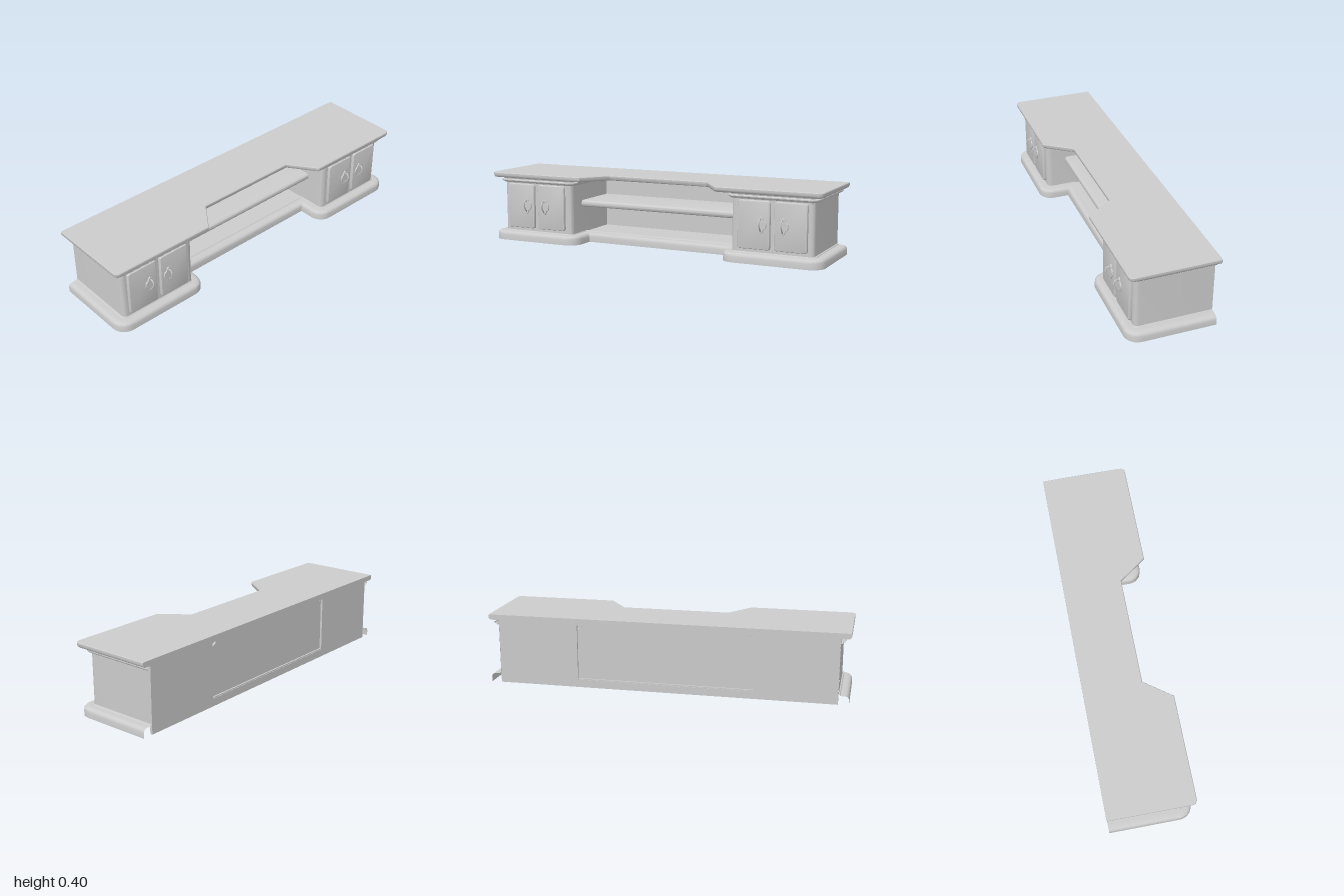
import * as THREE from 'three';
import { toCreasedNormals } from 'three/addons/utils/BufferGeometryUtils.js';

const mat = new THREE.MeshStandardMaterial({ color: 0xcccccc, side: THREE.DoubleSide });

function add(parent, name, geo, x = 0, y = 0, z = 0) {
  const m = new THREE.Mesh(geo, mat);
  m.name = name;
  m.position.set(x, y, z);
  parent.add(m);
  return m;
}

// Path of [x, z, radius]: corners with a radius become short arcs
function roundPath(pts, steps = 5) {
  const out = [];
  pts.forEach(([x, z, r], i) => {
    const c = new THREE.Vector2(x, z);
    if (!r) return out.push(c);
    const toward = (q) => c.clone().add(new THREE.Vector2(q[0], q[1]).sub(c).setLength(r));
    const a = toward(pts[i - 1]), b = toward(pts[i + 1]);
    const curve = new THREE.QuadraticBezierCurve(a, c, b);
    out.push(...curve.getPoints(steps));
  });
  return out;
}

// Mitred parallel of a path, moved outward by d
function offsetPath(path, d) {
  const normal = (a, b) => new THREE.Vector2(a.y - b.y, b.x - a.x).normalize();
  return path.map((p, i) => {
    const n1 = normal(path[Math.max(i - 1, 0)], path[Math.max(i, 1)]);
    const last = path.length - 1;
    const n2 = normal(path[Math.min(i, last - 1)], path[Math.min(i + 1, last)]);
    const n = n1.clone().add(n2);
    return p.clone().addScaledVector(n, d * 2 / n.lengthSq());
  });
}

// Sweep a profile of [outward, y] along a floor-plan path
function sweep(path, profile) {
  const pos = [], idx = [], n = path.length;
  profile.forEach(([d, y]) => offsetPath(path, d).forEach((p) => pos.push(p.x, y, p.y)));
  for (let j = 0; j < profile.length - 1; j++) {
    for (let i = 0; i < n - 1; i++) {
      const a = j * n + i, b = a + 1, c = a + n, e = c + 1;
      idx.push(a, b, c, b, e, c);
    }
  }
  const g = new THREE.BufferGeometry();
  g.setAttribute('position', new THREE.Float32BufferAttribute(pos, 3));
  g.setIndex(idx);
  return toCreasedNormals(g, 0.6);
}

// Horizontal face filling a floor-plan path
function cap(path, y, up) {
  const s = new THREE.Shape(path.map((p) => new THREE.Vector2(p.x, up ? -p.y : p.y)));
  return new THREE.ShapeGeometry(s).rotateX(up ? -Math.PI / 2 : Math.PI / 2).translate(0, y, 0);
}

function roundedRect(w, h, r) {
  const s = new THREE.Shape(), x = w / 2, y = h / 2;
  s.absarc(x - r, y - r, r, 0, Math.PI / 2);
  s.absarc(-x + r, y - r, r, Math.PI / 2, Math.PI);
  s.absarc(-x + r, -y + r, r, Math.PI, Math.PI * 1.5);
  s.absarc(x - r, -y + r, r, Math.PI * 1.5, Math.PI * 2);
  return s;
}

function makeDoor(x, name) {
  const door = new THREE.Group();
  door.name = name;
  door.position.set(x, 0.202, 0.188);
  const panel = new THREE.ExtrudeGeometry(roundedRect(0.166, 0.246, 0.008), {
    depth: 0.012, bevelThickness: 0.007, bevelSize: 0.006, bevelSegments: 3, curveSegments: 4,
  });
  add(door, 'doorPanel', toCreasedNormals(panel, 0.5));
  return door;
}

// Shaped backplate with a drooping bail pull
function makeHandle(x) {
  const handle = new THREE.Group();
  handle.name = 'handle';
  handle.position.set(x, 0.205, 0.206);
  const half = [[0, 0.045], [0.01, 0.038], [0.014, 0.025], [0.027, 0.014], [0.03, 0],
    [0.027, -0.014], [0.014, -0.025], [0.01, -0.038], [0, -0.045]];
  const left = half.slice(1, -1).reverse().map(([a, b]) => [-a, b]);
  const outline = [...half, ...left].map(([a, b]) => new THREE.Vector2(a, b));
  add(handle, 'backplate', new THREE.ExtrudeGeometry(new THREE.Shape(outline), {
    depth: 0.006, bevelThickness: 0.002, bevelSize: 0.001, bevelSegments: 1,
  }));
  const bail = new THREE.CatmullRomCurve3([[0.03, 0.006], [0.032, 0.018], [0.025, 0.028],
    [0.01, 0.032], [-0.01, 0.025], [-0.026, 0.013], [-0.034, 0.006]]
    .map(([y, z]) => new THREE.Vector3(0, y, z)));
  add(handle, 'pull', new THREE.TubeGeometry(bail, 24, 0.004, 8));
  return handle;
}

export function createModel() {
  const model = new THREE.Group();
  model.name = 'consoleUnit';

  // Table top with a trapezoid cut-out in front and an eased lower edge
  const topPath = roundPath([[-1, -0.24], [-1, 0.237, 0.03], [-0.41, 0.237], [-0.3, 0.085],
    [0.3, 0.085], [0.41, 0.237], [1, 0.237, 0.03], [1, -0.24]]);
  const edge = [[-0.017, 0.365], [-0.008, 0.367], [-0.003, 0.372], [0, 0.38], [0, 0.391], [-0.003, 0.395]];
  const top = new THREE.Group();
  top.name = 'tableTop';
  model.add(top);
  add(top, 'topEdge', sweep(topPath, edge));
  add(top, 'topSurface', cap(offsetPath(topPath, -0.003), 0.395, true));
  add(top, 'topUnderside', cap(offsetPath(topPath, -0.017), 0.365, false));
  const rear = [...edge.map(([d, y]) => [1 + d, y]), ...[...edge].reverse().map(([d, y]) => [-1 - d, y])];
  const rearShape = new THREE.Shape(rear.map(([x, y]) => new THREE.Vector2(x, y)));
  add(top, 'topBackEdge', new THREE.ShapeGeometry(rearShape).rotateY(Math.PI), 0, 0, -0.24);

  // Hollow plinth stepping back between the two cabinets
  const plinthPath = roundPath([[-0.942, -0.23], [-0.942, 0.182, 0.02], [-0.498, 0.182, 0.02], [-0.498, 0.025],
    [0.498, 0.025], [0.498, 0.182, 0.02], [0.942, 0.182, 0.02], [0.942, -0.23]]);
  add(model, 'plinth', sweep(plinthPath, [[0.058, 0], [0.058, 0.03], [0.055, 0.041], [0.047, 0.048],
    [0.035, 0.051], [0.012, 0.051], [0.008, 0.056], [0, 0.057]]));
  add(model, 'floor', new THREE.BoxGeometry(1, 0.006, 0.27), 0, 0.048, -0.092);

  // Cabinets: open-bottomed walls, cornice, a pair of doors each
  for (const side of [-1, 1]) {
    const cabinet = new THREE.Group();
    cabinet.name = side < 0 ? 'rightCabinet' : 'leftCabinet';
    model.add(cabinet);
    const c = side * 0.717, w = 0.227;
    const path = roundPath([[c - w, -0.23], [c - w, 0.19, 0.028], [c + w, 0.19, 0.028], [c + w, -0.23]]);
    add(cabinet, 'cabinetWalls', sweep(path, [[0, 0.05], [0, 0.366]]));
    add(cabinet, 'cornice', sweep(path, [[0, 0.335], [0.01, 0.337], [0.014, 0.343], [0.022, 0.344], [0.025, 0.348],
      [0.025, 0.353], [0.022, 0.356], [0.012, 0.357], [0.014, 0.363], [0.018, 0.366]]));
    for (const k of [-1, 1]) {
      cabinet.add(makeDoor(c + side * 0.005 + k * 0.101, k < 0 ? 'rightDoor' : 'leftDoor'));
      cabinet.add(makeHandle(c + side * 0.005 + k * 0.06));
    }
  }

  // Back board with a shallow recessed panel in the middle
  const rect = (P, x, y0, y1) => new P([[-x, y0], [x, y0], [x, y1], [-x, y1]].map((p) => new THREE.Vector2(...p)));
  const board = rect(THREE.Shape, 0.943, 0.002, 0.366);
  board.holes.push(rect(THREE.Path, 0.49, 0.045, 0.355));
  add(model, 'backBoard', new THREE.ExtrudeGeometry(board, { depth: 0.014, bevelEnabled: false }), 0, 0, -0.23);
  add(model, 'backPanel', new THREE.BoxGeometry(0.99, 0.32, 0.004), 0, 0.202, -0.216);

  // Middle shelf with a rounded front edge
  const shelf = new THREE.Shape();
  shelf.moveTo(0.215, 0.203);
  shelf.lineTo(0.215, 0.24);
  shelf.lineTo(-0.065, 0.24);
  shelf.quadraticCurveTo(-0.08, 0.238, -0.08, 0.222);
  shelf.quadraticCurveTo(-0.08, 0.205, -0.065, 0.203);
  const shelfGeo = new THREE.ExtrudeGeometry(shelf, { depth: 0.98, bevelEnabled: false, curveSegments: 5 });
  shelfGeo.translate(0, 0, -0.49).rotateY(Math.PI / 2);
  add(model, 'shelf', toCreasedNormals(shelfGeo, 0.6));

  return model;
}
